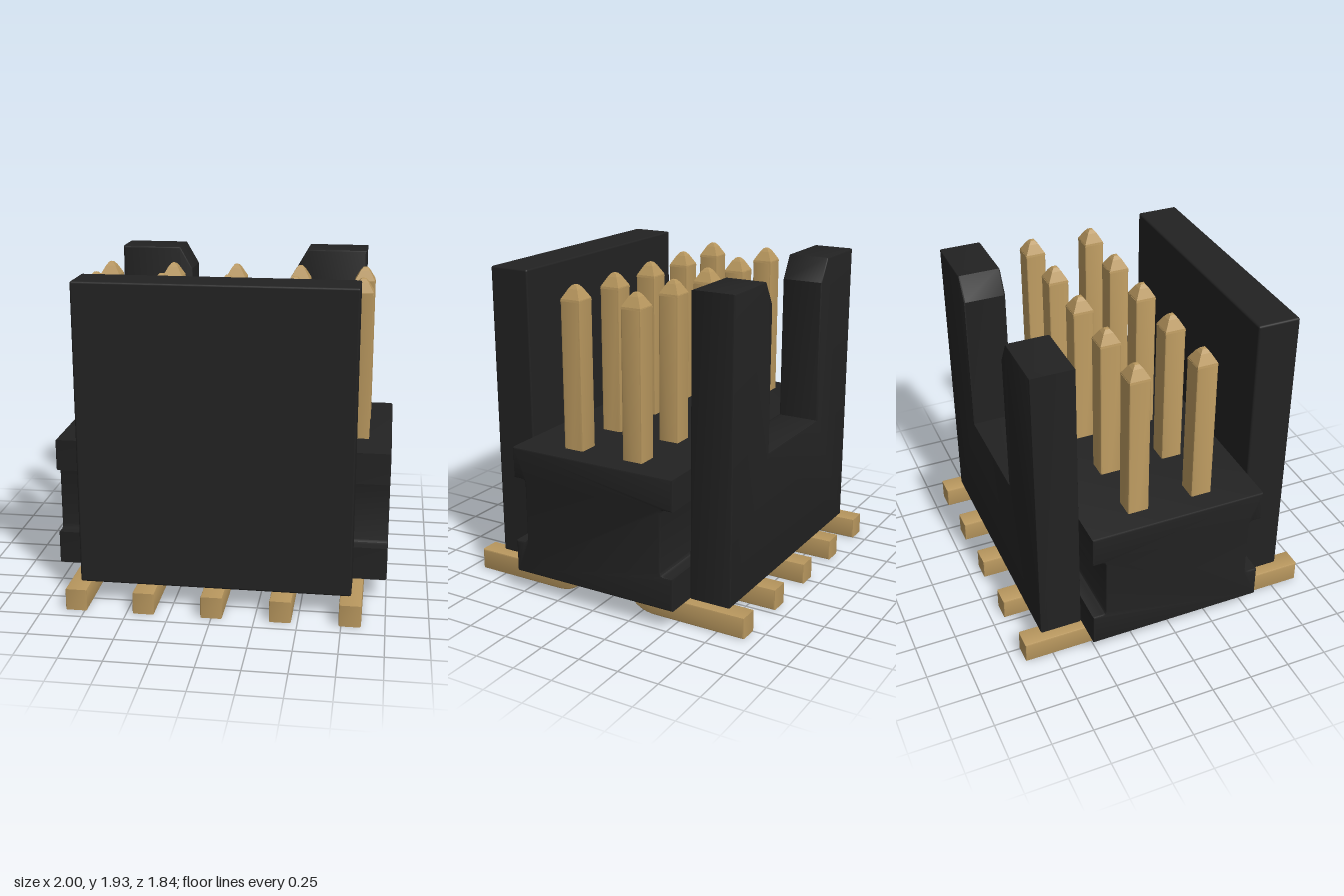
import * as THREE from 'three';
import { toCreasedNormals } from 'three/addons/utils/BufferGeometryUtils.js';
import { RoundedBoxGeometry } from 'three/addons/geometries/RoundedBoxGeometry.js';

// Extrude an outline by a total depth, centred, with small bevelled edges
function extrude(shape, depth, bevel) {
  const g = new THREE.ExtrudeGeometry(shape, {
    depth: depth - 2 * bevel, bevelThickness: bevel, bevelSize: bevel,
    bevelOffset: -bevel, bevelSegments: 2, curveSegments: 10,
  });
  g.translate(0, 0, -depth / 2 + bevel);
  return toCreasedNormals(g, 0.5);
}

// Outline through points
const outline = (pts) => new THREE.Shape(pts.map(([a, b]) => new THREE.Vector2(a, b)));

export function createModel() {
  const model = new THREE.Group();
  model.name = 'pinHeader';
  const plastic = new THREE.MeshStandardMaterial({ color: 0x222222 });
  plastic.name = 'black plastic';
  const gold = new THREE.MeshStandardMaterial({ color: 0xb8975e });
  gold.name = 'gold metal';

  const add = (name, geometry, material, parent = model) => {
    const mesh = new THREE.Mesh(geometry, material);
    mesh.name = name;
    parent.add(mesh);
    return mesh;
  };

  // Base block: side outline (z, y) with a slot in each long face
  const half = [[0.54, 0.13], [0.54, 0.33], [0.48, 0.33], [0.466, 0.336], [0.46, 0.35],
    [0.46, 0.71], [0.466, 0.724], [0.48, 0.73], [0.54, 0.73], [0.54, 0.92]];
  const mirrored = half.map(([z, y]) => [-z, y]).reverse();
  const base = extrude(outline([...half, ...mirrored]), 2, 0.01);
  base.rotateY(-Math.PI / 2);
  add('base', base, plastic);

  // Full front wall
  const front = add('frontWall', new RoundedBoxGeometry(1.6, 1.8, 0.26, 2, 0.012), plastic);
  front.position.set(0, 1.03, 0.67);

  // Back wall with a wide notch between two chamfered posts
  const right = [[0.8, 0.13], [0.8, 1.93], [0.42, 1.93], [0.34, 1.79], [0.34, 0.92]];
  const left = right.map(([x, y]) => [-x, y]).reverse();
  const back = add('backWall', extrude(outline([...right, ...left]), 0.26, 0.01), plastic);
  back.position.z = -0.67;

  // Bent pin: side outline (z, y) with a rounded heel
  const w = 0.064;
  const bend = new THREE.Shape();
  bend.moveTo(0.92, 0);
  bend.lineTo(0.92, 0.13);
  bend.lineTo(0.2 + w, 0.13);
  bend.lineTo(0.2 + w, 1.8);
  bend.lineTo(0.2 - w, 1.8);
  bend.lineTo(0.2 - w, 0.14);
  bend.quadraticCurveTo(0.2, 0, 0.34, 0);
  const pinGeometry = extrude(bend, 2 * w, 0.008);
  pinGeometry.rotateY(-Math.PI / 2);

  // Four-sided pointed tip
  const tipProfile = [[w, 1.79], [w - 0.003, 1.805], [0.03, 1.86], [0.014, 1.88], [0, 1.885]]
    .map(([r, y]) => new THREE.Vector2(r * Math.SQRT2, y));
  const tipGeometry = new THREE.LatheGeometry(tipProfile, 4, Math.PI / 4).toNonIndexed();
  tipGeometry.computeVertexNormals();
  tipGeometry.translate(0, 0, 0.2);

  // Two mirrored rows of five pins
  for (const [row, turn] of [['frontPin', 0], ['backPin', Math.PI]]) {
    for (let i = 0; i < 5; i++) {
      const pin = new THREE.Group();
      pin.name = row + (i + 1);
      pin.position.x = -0.8 + 0.4 * i;
      pin.rotation.y = turn;
      add('pinShaft', pinGeometry, gold, pin);
      add('pinTip', tipGeometry, gold, pin);
      model.add(pin);
    }
  }
  return model;
}
